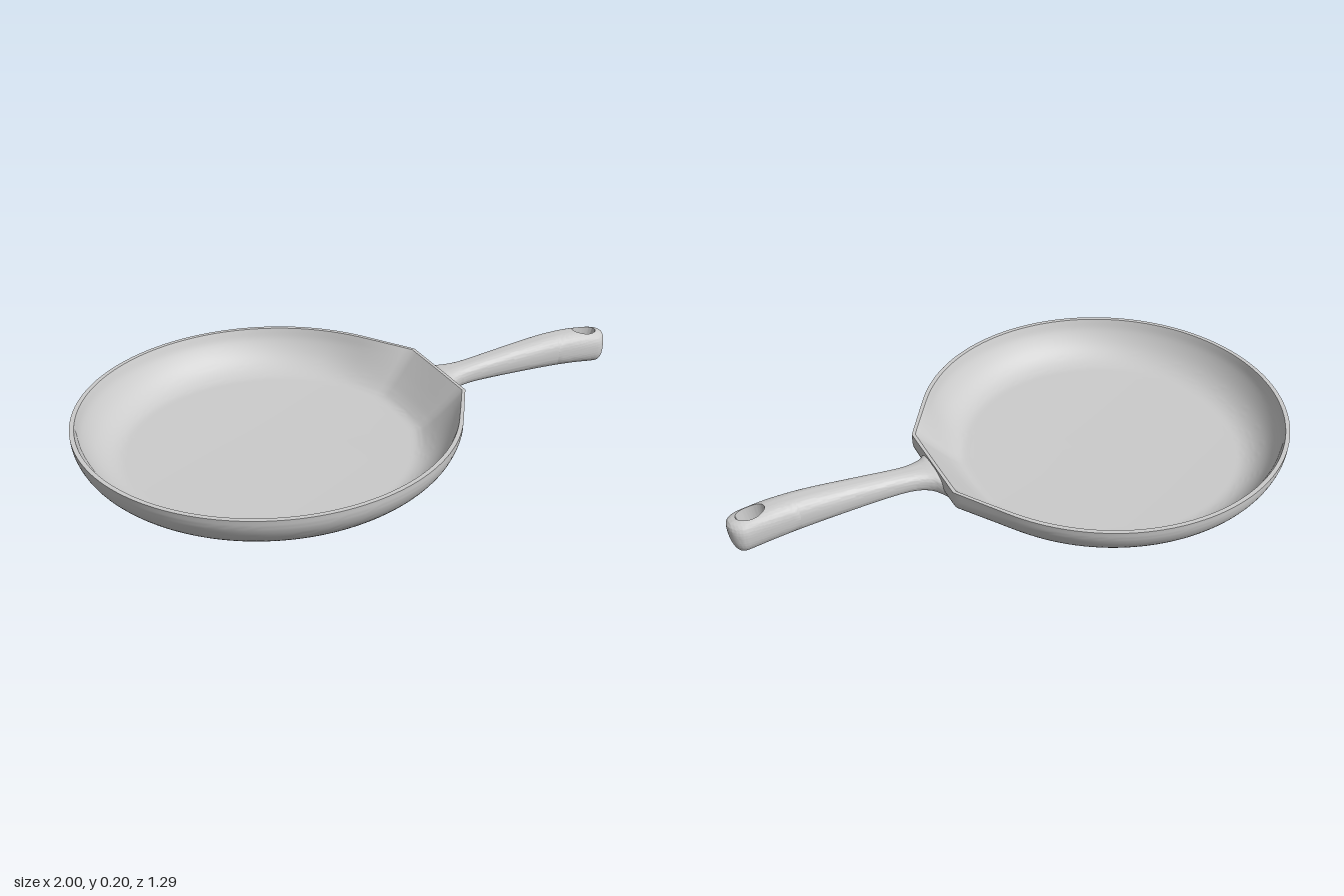
import * as THREE from 'three';
import { toCreasedNormals } from 'three/addons/utils/BufferGeometryUtils.js';

const CX = -0.355, R = 0.645, FLAT = 0.655; // bowl centre, radius, distance to the flat by the handle
const CUT = 0.77, END = 0.95, MID_END = 0.15;

// Surface from a rule fn(u, v) -> [x, y, z], faces pointing along du x dv
function surface(nu, nv, fn, crease) {
  const pos = [], idx = [];
  for (let i = 0; i <= nu; i++)
    for (let j = 0; j <= nv; j++) pos.push(...fn(i / nu, j / nv));
  for (let i = 0; i < nu; i++)
    for (let j = 0; j < nv; j++) {
      const a = i * (nv + 1) + j, b = a + nv + 1;
      idx.push(a, b, a + 1, b, b + 1, a + 1);
    }
  const g = new THREE.BufferGeometry();
  g.setAttribute('position', new THREE.Float32BufferAttribute(pos, 3));
  g.setIndex(idx);
  return toCreasedNormals(g, crease);
}

// Smooth function through [x, y] points
function curve(p) {
  const slope = i => {
    const a = p[Math.max(i - 1, 0)], b = p[Math.min(i + 1, p.length - 1)];
    return (b[1] - a[1]) / (b[0] - a[0]);
  };
  return x => {
    let i = 0;
    while (i < p.length - 2 && x > p[i + 1][0]) i++;
    const h = p[i + 1][0] - p[i][0], t = Math.min(Math.max((x - p[i][0]) / h, 0), 1), s = 1 - t;
    return p[i][1] * (1 + 2 * t) * s * s + p[i + 1][1] * t * t * (3 - 2 * t)
      + h * (slope(i) * t * s * s - slope(i + 1) * t * t * s);
  };
}

// Bowl section from under the base, over the rim, to the middle of the floor
function profile(outer, inner) {
  const sample = (pts, n) => new THREE.CatmullRomCurve3(pts.map(([x, y]) => new THREE.Vector3(x, y, 0))).getPoints(n);
  return [new THREE.Vector3(), ...sample(outer, 24), ...sample(inner, 24), new THREE.Vector3(0, 0.03, 0)];
}
const wall = profile(
  [[0.44, 0], [0.48, 0.007], [0.54, 0.03], [0.59, 0.062], [0.625, 0.1], [0.642, 0.14], [0.645, 0.17]],
  [[0.63, 0.17], [0.615, 0.13], [0.58, 0.08], [0.54, 0.048], [0.5, 0.033], [0.45, 0.03]]);
const wallAtHandle = profile(
  [[0.44, 0], [0.48, 0.008], [0.53, 0.032], [0.58, 0.058], [0.615, 0.08], [0.64, 0.11], [0.645, 0.17]],
  [[0.635, 0.17], [0.605, 0.135], [0.565, 0.09], [0.53, 0.055], [0.5, 0.035], [0.45, 0.03]]);

// Rim outline: a circle drawn out along tangents to a short flat at the handle
const CORNER = Math.PI / 12;
const TANGENT = CORNER + Math.acos(R * Math.cos(CORNER) / FLAT);
function rimRadius(t) {
  if (t < CORNER) return FLAT / Math.cos(t);
  return t < TANGENT ? R / Math.cos(t - TANGENT) : R;
}

function bowlGeometry() {
  const n = wall.length - 1;
  return surface(n, 144, (u, v) => {
    const i = Math.round(u * n), a = v * Math.PI * 2, t = Math.min(a, Math.PI * 2 - a);
    const p = wall[i].clone().lerp(wallAtHandle[i], 1 - THREE.MathUtils.smoothstep(t, 0.2, 0.8));
    const r = p.x + (rimRadius(t) - R) * (p.x / R) ** 4;
    return [CX + r * Math.cos(a), Math.max(p.y, 0), r * Math.sin(a)];
  }, 0.6);
}

// Handle: half width, top and bottom along x, rounded off at the tip
const N = 2.6;
const widthAt = curve([[0.27, 0.125], [0.3, 0.09], [0.32, 0.068], [0.36, 0.05], [0.42, 0.043], [0.55, 0.046], [0.7, 0.053], [0.85, 0.058], [1, 0.058]]);
const topAt = curve([[0.27, 0.13], [0.295, 0.16], [0.33, 0.165], [0.4, 0.168], [0.5, 0.177], [0.62, 0.187], [0.75, 0.195], [0.85, 0.193], [0.93, 0.184], [1, 0.172]]);
const bottomAt = curve([[0.27, 0.068], [0.32, 0.085], [0.38, 0.094], [0.45, 0.095], [0.6, 0.09], [0.75, 0.082], [0.85, 0.073], [0.95, 0.059], [1, 0.055]]);
const tip = x => Math.min(Math.max((x - END) / (1 - END), 0), 1);
const halfWidth = x => widthAt(x) * Math.sqrt(1 - tip(x) ** 2);
const top = x => MID_END + (topAt(x) - MID_END) * (1 - tip(x) ** 4) ** 0.25;
const bottom = x => MID_END + (bottomAt(x) - MID_END) * (1 - tip(x) ** 3) ** 0.5;

function handleY(x, z, side) {
  const d = Math.min(Math.abs(z) / Math.max(halfWidth(x), 1e-6), 1);
  const mid = (top(x) + bottom(x)) / 2;
  return mid + side * (top(x) - mid) * (1 - d ** N) ** (1 / N);
}

function stemGeometry() {
  const pow = c => Math.sign(c) * Math.abs(c) ** (2 / N);
  return surface(60, 64, (u, v) => {
    const x = 0.27 + u * (CUT + 0.005 - 0.27), a = v * Math.PI * 2;
    const mid = (top(x) + bottom(x)) / 2;
    return [x, mid + (top(x) - mid) * pow(Math.sin(a)), halfWidth(x) * pow(Math.cos(a))];
  }, 1);
}

// Handle end: section swept around the hanging hole, which widens to the tip on top
function handleEndGeometry() {
  const O = 0.91, STEPS = 24;
  const edge = (c, s) => {
    let lo = 0, hi = 0.3;
    for (let k = 0; k < 30; k++) {
      const m = (lo + hi) / 2, x = O + c * m;
      if (x > CUT && x < 1 && Math.abs(s * m) < halfWidth(x)) lo = m; else hi = m;
    }
    return [O + c * lo, s * lo];
  };
  const rows = STEPS * 2 + 2;
  return surface(96, rows, (u, v) => {
    const a = u * Math.PI * 2, c = Math.cos(a), s = Math.sin(a);
    const k = Math.round(v * rows) % rows;
    const upper = k <= STEPS;
    const q = upper ? k / STEPS : 1 - (k - STEPS - 1) / STEPS;
    const t = 1 - (1 - q) ** 3;
    const [ex, ez] = edge(c, s);
    const hx = upper ? 0.921 + 0.048 * c : 0.906 + 0.032 * c;
    const hz = (upper ? 0.032 : 0.029) * s;
    const x = hx + (ex - hx) * t, z = hz + (ez - hz) * t;
    return [x, handleY(x, z, upper ? 1 : -1), z];
  }, 0.9);
}

export function createModel() {
  const group = new THREE.Group();
  group.name = 'fryingPan';
  const material = new THREE.MeshStandardMaterial({ color: 0xcccccc });
  const parts = { bowl: bowlGeometry(), handleStem: stemGeometry(), handleEnd: handleEndGeometry() };
  for (const [name, geometry] of Object.entries(parts)) {
    const mesh = new THREE.Mesh(geometry, material);
    mesh.name = name;
    group.add(mesh);
  }
  return group;
}
